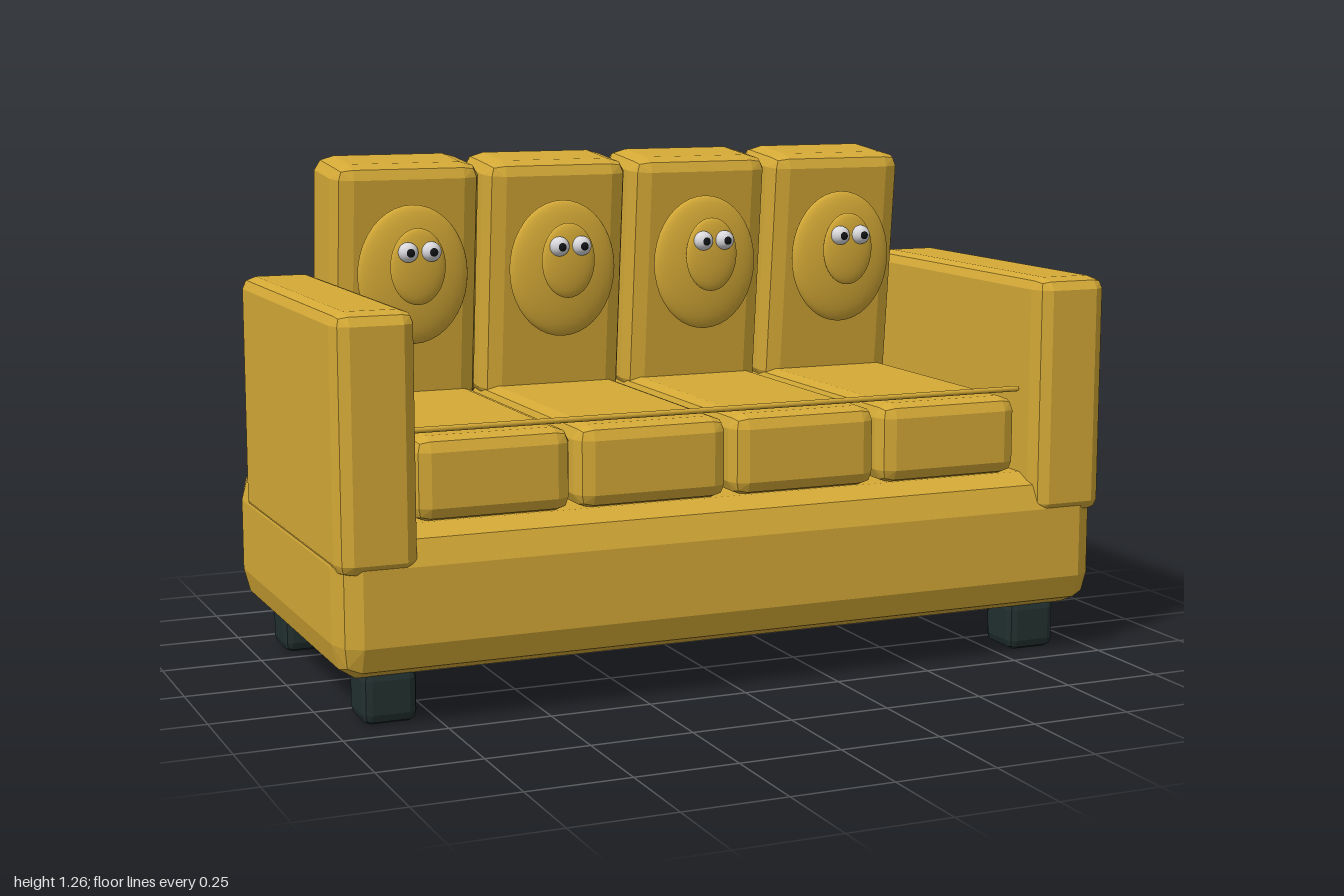
import * as THREE from 'three';
import { ConvexGeometry } from 'three/addons/geometries/ConvexGeometry.js';

const mustard = new THREE.MeshStandardMaterial({ color: 0xd4a936 });
mustard.name = 'mustard fabric';
const legDark = new THREE.MeshStandardMaterial({ color: 0x22302f });
legDark.name = 'dark leg';
const eyeWhite = new THREE.MeshStandardMaterial({ color: 0xd8d8dc });
eyeWhite.name = 'eye white';
const pupilBlack = new THREE.MeshStandardMaterial({ color: 0x101214 });
pupilBlack.name = 'pupil black';

// Faceted box with a two-step bevel; b holds the bevel reach along x, y and z
function bevelBox(w, h, d, b) {
  const k = Math.SQRT1_2, t = 1 / Math.sqrt(3);
  const dirs = [[1, 0, 0], [0, 1, 0], [0, 0, 1], [k, k, 0], [k, 0, k], [0, k, k], [t, t, t]];
  const points = [];
  for (const sx of [-1, 1]) for (const sy of [-1, 1]) for (const sz of [-1, 1])
    for (const [x, y, z] of dirs)
      points.push(new THREE.Vector3(
        sx * (w / 2 - b[0] + b[0] * x),
        sy * (h / 2 - b[1] + b[1] * y),
        sz * (d / 2 - b[2] + b[2] * z)));
  return new ConvexGeometry(points);
}

function add(parent, name, geometry, material, x, y, z) {
  const mesh = new THREE.Mesh(geometry, material);
  mesh.name = name;
  mesh.position.set(x, y, z);
  parent.add(mesh);
  return mesh;
}

export function createModel() {
  const sofa = new THREE.Group();
  sofa.name = 'sofa';

  // Base
  add(sofa, 'base', bevelBox(1.99, 0.35, 0.995, [0.055, 0.085, 0.08]), mustard, -0.003, 0.292, -0.005);

  // Arms and legs
  const armGeo = bevelBox(0.195, 0.6, 0.895, [0.035, 0.03, 0.05]);
  const legGeo = bevelBox(0.13, 0.13, 0.13, [0.02, 0.025, 0.02]);
  for (const side of [-1, 1]) {
    add(sofa, side > 0 ? 'leftArm' : 'rightArm', armGeo, mustard, side * 0.9025, 0.665, 0.0525);
    for (const z of [0.355, -0.355])
      add(sofa, z > 0 ? 'frontLeg' : 'backLeg', legGeo, legDark, side * 0.856 - 0.005, 0.065, z);
  }

  // Piping along the front of the seat
  const piping = add(sofa, 'piping', new THREE.CylinderGeometry(0.007, 0.007, 1.6, 12), mustard, -0.003, 0.68, 0.408);
  piping.rotation.z = Math.PI / 2;

  // Four seats, each with a back cushion and a face
  const seatGeo = bevelBox(0.388, 0.2, 0.82, [0.04, 0.035, 0.04]);
  const backGeo = bevelBox(0.388, 0.625, 0.232, [0.05, 0.035, 0.045]);
  const ball = new THREE.SphereGeometry(1, 32, 20);
  for (let i = 0; i < 4; i++) {
    const seat = new THREE.Group();
    seat.name = 'seat' + (i + 1);
    seat.position.x = -0.605 + 0.4 * i;
    sofa.add(seat);
    add(seat, 'seatCushion', seatGeo, mustard, 0, 0.563, 0.02);
    add(seat, 'backCushion', backGeo, mustard, 0, 0.942, -0.338).rotation.x = 0.1;
    add(seat, 'button', ball, mustard, 0, 0.97, -0.183).scale.set(0.144, 0.175, 0.032);
    add(seat, 'nose', ball, mustard, 0, 0.994, -0.139).scale.set(0.072, 0.096, 0.018);
    for (const side of [-1, 1]) {
      add(seat, 'eye', ball, eyeWhite, side * 0.03, 1.032, -0.123).scale.setScalar(0.025);
      add(seat, 'pupil', ball, pupilBlack, side * 0.03, 1.032, -0.107).scale.setScalar(0.0125);
    }
  }
  return sofa;
}
